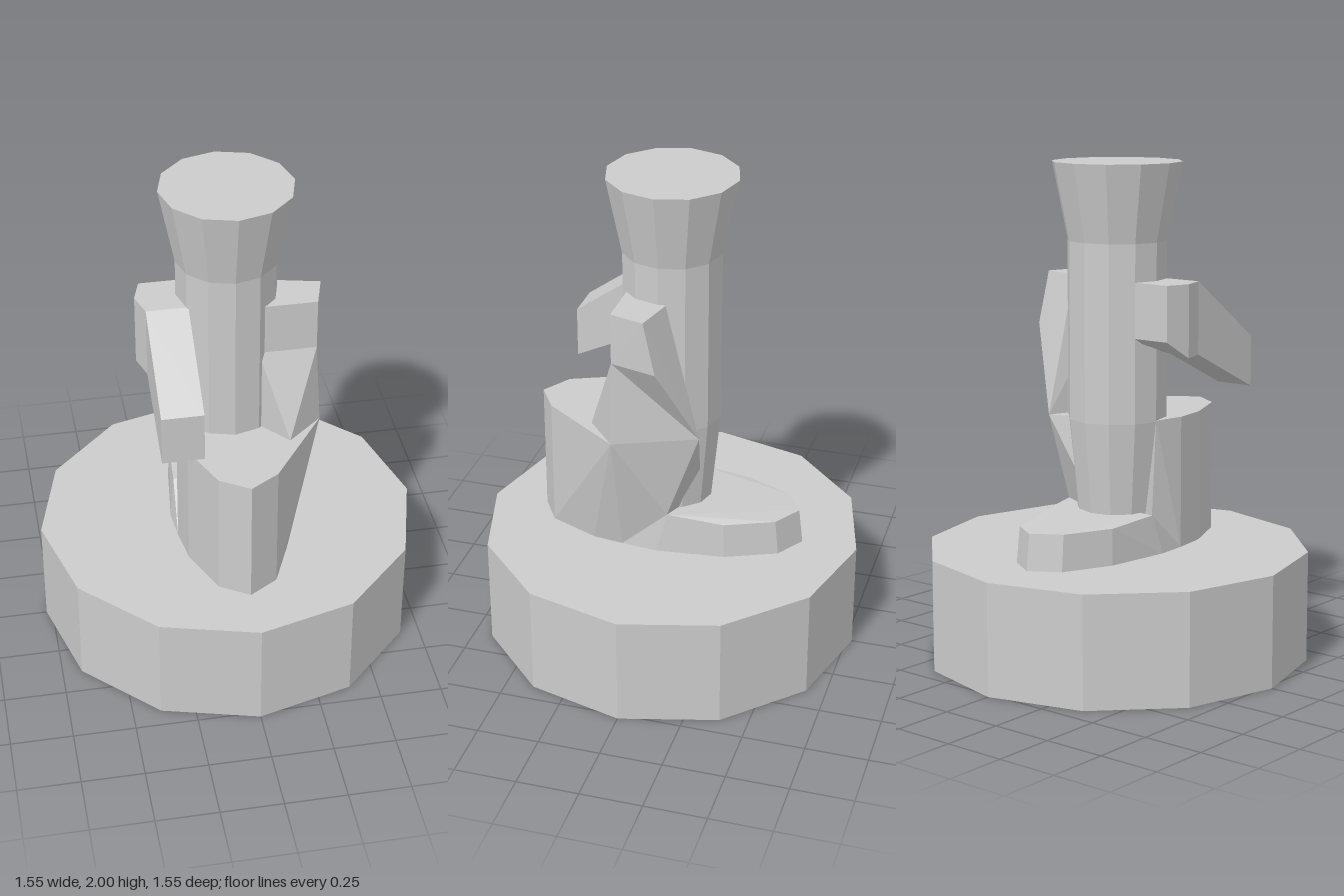
import * as THREE from 'three';
import { ConvexGeometry } from 'three/addons/geometries/ConvexGeometry.js';

export function createModel() {
  const model = new THREE.Group();
  const material = new THREE.MeshStandardMaterial({ color: 0xcccccc, flatShading: true });

  const add = (name, geometry, y = 0) => {
    const mesh = new THREE.Mesh(geometry, material);
    mesh.name = name;
    mesh.position.y = y;
    model.add(mesh);
  };
  // Faceted solid around a few corner points
  const solid = (name, points) =>
    add(name, new ConvexGeometry(points.map((p) => new THREE.Vector3(...p))));
  const prism = (name, rTop, rBottom, y0, y1) =>
    add(name, new THREE.CylinderGeometry(rTop, rBottom, y1 - y0, 12), (y0 + y1) / 2);
  // Five corners of an elongated twelve-sided oval; dir picks front (+1) or back (-1)
  const halfOval = (y, dir, scale = 1) =>
    [-60, -30, 0, 30, 60].map((deg) => {
      const a = THREE.MathUtils.degToRad(deg);
      return [0.235 * scale * Math.sin(a), y, 0.55 * scale * dir * Math.cos(a)];
    });

  // Pedestal and column with flared head
  prism('pedestal', 0.775, 0.775, 0, 0.45);
  prism('column', 0.2, 0.2, 0.98, 1.69);
  prism('flaredHead', 0.262, 0.2, 1.69, 2);
  prism('waist', 0.2, 0.16, 0.58, 0.985);

  // Corners shared by the sleeve and the skirt
  const cuff = [0.35, 0.985, 0.15];
  const back = [0.215, 0.985, -0.17];
  const hem = [0.22, 0.45, 0.15];
  const hip = [0.222, 0.62, -0.04];
  const front = [0.206, 0.985, 0.275];
  const elbow = [0.33, 1.33, 0.15];
  const innerElbow = [0.1, 1.33, 0.15];

  // Skirt: rounded front, then the body behind it
  solid('skirtFront', [
    ...halfOval(0.45, 1), ...halfOval(0.985, 1),
    cuff, hem, [-0.225, 0.45, 0.13], [-0.225, 0.985, 0.13],
  ]);
  solid('skirtSide', [
    cuff, back, hem, hip, [-0.225, 0.45, 0.13], [-0.225, 0.985, 0.13],
    [-0.2, 0.985, 0], [-0.18, 0.6, 0], [0, 0.6, -0.12],
  ]);

  // Low train at the back
  solid('train', [
    ...halfOval(0.45, -1), ...halfOval(0.595, -1, 0.97),
    [-0.235, 0.45, 0], [0.235, 0.45, 0], hem, hip,
    [-0.225, 0.45, 0.13], [-0.215, 0.61, -0.04],
  ]);

  // Left arm hanging into a wide sleeve
  solid('leftUpperArm', [
    [0.1, 1.54, 0.15], [0.33, 1.54, 0.15], [0.37, 1.54, 0.01], [0.2, 1.54, -0.03],
    innerElbow, elbow, [0.38, 1.33, -0.04], back,
  ]);
  solid('leftSleeve', [innerElbow, elbow, cuff, front, back, [0.1, 0.985, 0.15]]);

  // Right shoulder and forearm reaching forward
  solid('rightShoulder', [
    [-0.1, 1.54, 0.1], [-0.33, 1.54, 0.1], [-0.36, 1.54, 0], [-0.33, 1.54, -0.1], [-0.1, 1.54, -0.1],
    [-0.1, 1.25, 0.1], [-0.33, 1.25, 0.1], [-0.36, 1.25, 0], [-0.33, 1.32, -0.1], [-0.1, 1.32, -0.1],
  ]);
  solid('rightForearm', [-0.33, -0.165].flatMap((x) => [
    [x, 1.54, 0.1], [x, 1.25, 0.1], [x, 1.285, 0.455], [x, 1.08, 0.455],
  ]));

  return model;
}
